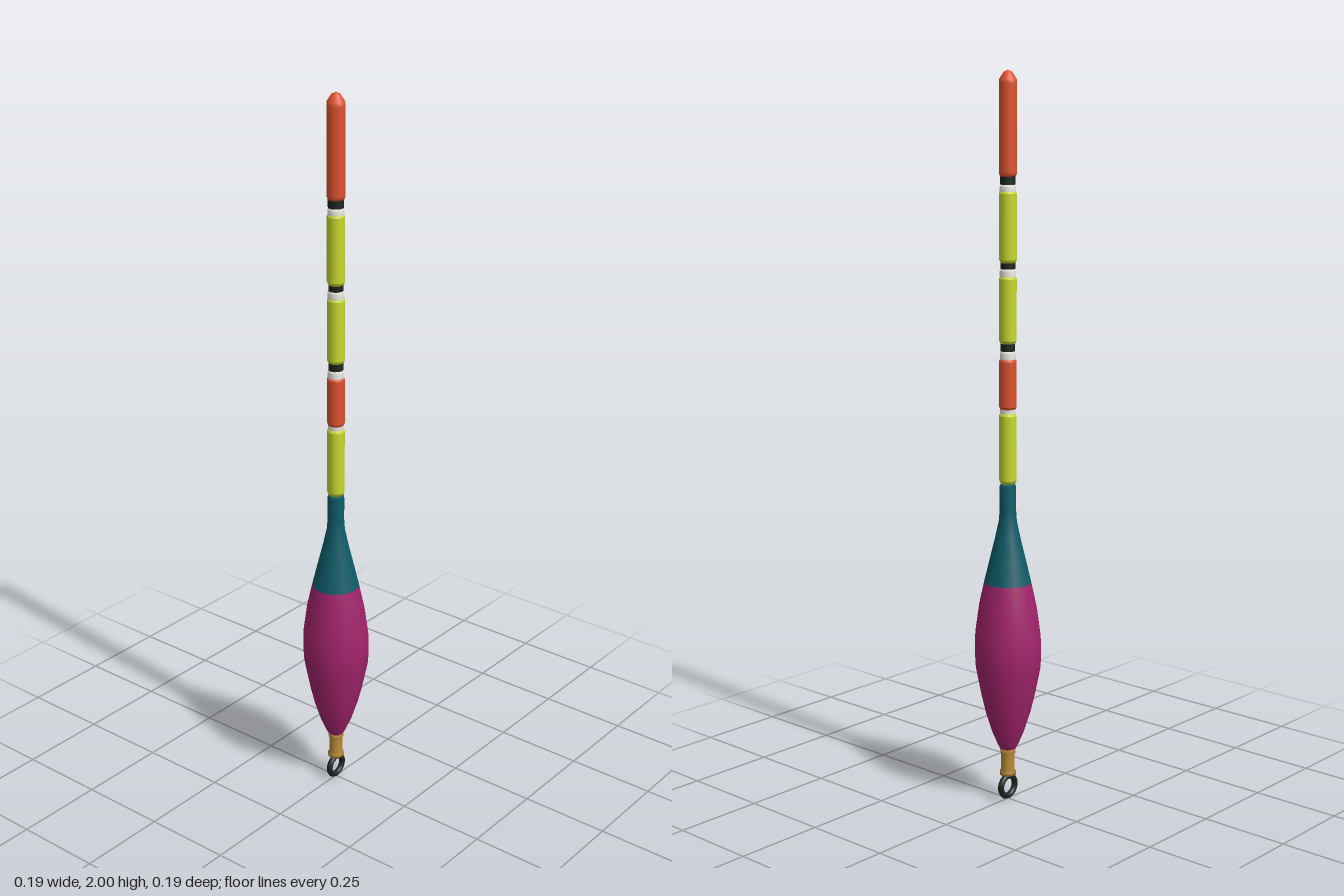
import * as THREE from 'three';

const SIDES = 12;

export function createModel() {
  const model = new THREE.Group();
  model.name = 'fishingFloat';

  const mat = (name, color) => {
    const m = new THREE.MeshStandardMaterial({ color });
    m.name = name;
    return m;
  };
  const orange = mat('orange', 0xe0522f);
  const yellow = mat('yellow', 0xc8d92e);
  const white = mat('white', 0xe8e6dc);
  const black = mat('black', 0x1c2422);
  const teal = mat('teal', 0x0d5c69);
  const magenta = mat('magenta', 0xa3246c);
  const brass = mat('brass', 0xb98a38);

  // Turned part from [radius, height] pairs, bottom to top
  const turn = (name, material, profile) => {
    const pts = profile.map(([r, y]) => new THREE.Vector2(r, y));
    const mesh = new THREE.Mesh(new THREE.LatheGeometry(pts, SIDES), material);
    mesh.name = name;
    model.add(mesh);
  };

  // Antenna sleeve with small bevels at both ends
  const sleeve = (name, material, y0, y1) => turn(name, material, [
    [0, y0], [0.019, y0], [0.024, y0 + 0.01], [0.024, y0 + 0.011],
    [0.024, y1 - 0.011], [0.024, y1 - 0.01], [0.019, y1], [0, y1],
  ]);

  // Thin band between sleeves
  const band = (name, material, y0, y1, r = 0.021) => {
    const mesh = new THREE.Mesh(new THREE.CylinderGeometry(r, r, y1 - y0, SIDES), material);
    mesh.position.y = (y0 + y1) / 2;
    mesh.name = name;
    model.add(mesh);
  };

  // Line ring and brass ferrule
  const ring = new THREE.Mesh(new THREE.TorusGeometry(0.0285, 0.0085, 8, 24), black);
  ring.position.y = 0.037;
  ring.name = 'lineRing';
  model.add(ring);
  turn('ferrule', brass, [
    [0, 0.072], [0.023, 0.072], [0.023, 0.082], [0.019, 0.085],
    [0.019, 0.13], [0.022, 0.14], [0.022, 0.152], [0, 0.152],
  ]);

  // Body and tapering shoulder
  turn('body', magenta, [
    [0, 0.14], [0.018, 0.142], [0.028, 0.16], [0.045, 0.2], [0.064, 0.26],
    [0.076, 0.31], [0.092, 0.39], [0.093, 0.43], [0.092, 0.48], [0.081, 0.56], [0.066, 0.628],
  ]);
  turn('shoulder', teal, [
    [0.066, 0.628], [0.051, 0.69], [0.036, 0.75], [0.025, 0.8],
    [0.023, 0.83], [0.023, 0.895], [0.019, 0.903], [0, 0.903],
  ]);

  // Antenna, bottom to top
  sleeve('lowerYellowSleeve', yellow, 0.902, 1.1);
  band('lowerWhiteBand', white, 1.095, 1.11);
  sleeve('lowerOrangeSleeve', orange, 1.104, 1.248);
  turn('midWhiteBand', white, [[0.022, 1.243], [0.022, 1.258], [0.019, 1.267], [0, 1.267]]);
  band('midBlackBand', black, 1.265, 1.288, 0.02);
  sleeve('middleYellowSleeve', yellow, 1.283, 1.468);
  turn('upperWhiteBand', white, [[0.022, 1.463], [0.022, 1.478], [0.019, 1.485], [0, 1.485]]);
  band('upperBlackBand', black, 1.484, 1.502, 0.02);
  sleeve('upperYellowSleeve', yellow, 1.498, 1.692);
  turn('topWhiteBand', white, [[0.022, 1.687], [0.022, 1.698], [0.019, 1.706], [0, 1.706]]);
  band('topBlackBand', black, 1.705, 1.73);
  turn('tip', orange, [
    [0, 1.726], [0.021, 1.726], [0.024, 1.733], [0.024, 1.74],
    [0.024, 1.965], [0.024, 1.975], [0.012, 1.994], [0, 2],
  ]);

  return model;
}
